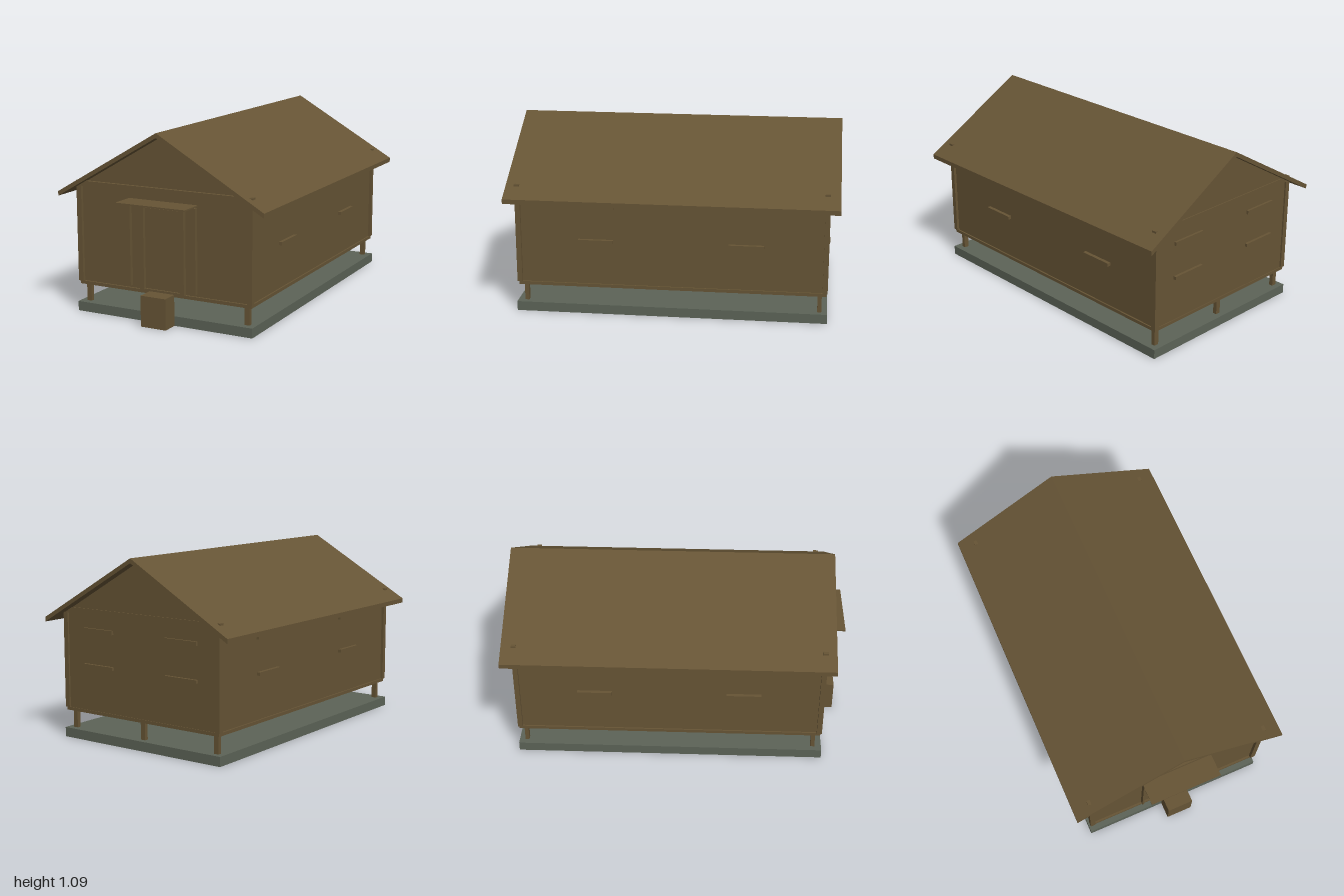
import * as THREE from 'three';

export function createModel() {
  const model = new THREE.Group();
  model.name = 'stiltCabin';

  // Double-sided because the slab, step and stilts are open underneath
  const wood = new THREE.MeshStandardMaterial({ color: 0x665435, side: THREE.DoubleSide });
  wood.name = 'brown wood';
  const stone = new THREE.MeshStandardMaterial({ color: 0x5c6357, side: THREE.DoubleSide });
  stone.name = 'grey green stone';

  // Box given by its minimum and maximum on each axis
  function box(name, [x0, x1], [y0, y1], [z0, z1], material = wood) {
    const geometry = new THREE.BoxGeometry(x1 - x0, y1 - y0, z1 - z0);
    const mesh = new THREE.Mesh(geometry, material);
    mesh.position.set((x0 + x1) / 2, (y0 + y1) / 2, (z0 + z1) / 2);
    mesh.name = name;
    model.add(mesh);
    return mesh;
  }

  // Box without its bottom face, which is the fourth of the six
  function openBox(...args) {
    const { geometry } = box(...args);
    const index = Array.from(geometry.index.array);
    index.splice(18, 6);
    geometry.setIndex(index);
    geometry.clearGroups();
  }

  // Box mirrored to both sides, given by its range on the left side
  function pair(name, [x0, x1], y, z) {
    box(name, [x0, x1], y, z);
    box(name, [-x1, -x0], y, z);
  }

  // Front-facing outline extruded from z0 to z1
  function prism(name, points, z0, z1) {
    const shape = new THREE.Shape(points.map(([x, y]) => new THREE.Vector2(x, y)));
    const geometry = new THREE.ExtrudeGeometry(shape, { depth: z1 - z0, bevelEnabled: false });
    const mesh = new THREE.Mesh(geometry, wood);
    mesh.position.z = z0;
    mesh.name = name;
    model.add(mesh);
  }

  // Foundation, floor and step
  openBox('foundationSlab', [-0.566, 0.566], [0, 0.056], [-0.946, 0.88], stone);
  box('floor', [-0.555, 0.555], [0.162, 0.181], [-0.938, 0.867]);
  openBox('frontStep', [-0.08, 0.08], [0, 0.18], [0.88, 0.978]);

  // Stilts
  for (const z of [-0.9, 0.828])
    for (const x of [-0.515, 0, 0.515])
      openBox('stilt', [x - 0.015, x + 0.015], [0, 0.17], [z - 0.012, z + 0.012]);

  // Walls with gables, reaching just into the roof
  prism('walls', [
    [-0.546, 0.181], [0.546, 0.181], [0.546, 0.758], [0, 1.075], [-0.546, 0.758],
  ], -0.934, 0.856);

  // Roof with vertically cut eaves
  prism('roof', [
    [-0.655, 0.684], [0, 1.064], [0.655, 0.684], [0.655, 0.711], [0, 1.091], [-0.655, 0.711],
  ], -1, 0.924);

  // Corner boards and the tie beams, whose ends reach through the roof
  pair('frontCornerBoard', [0.531, 0.562], [0.181, 0.745], [0.845, 0.875]);
  pair('backCornerBoard', [0.531, 0.562], [0.181, 0.745], [-0.944, -0.915]);
  box('frontTieBeam', [-0.564, 0.564], [0.745, 0.775], [0.845, 0.875]);
  box('backTieBeam', [-0.564, 0.564], [0.745, 0.775], [-0.94, -0.912]);

  // Door, its frame and the canopy
  box('door', [-0.112, 0.112], [0.191, 0.656], [0.856, 0.865]);
  box('doorSill', [-0.116, 0.116], [0.181, 0.191], [0.856, 0.876]);
  pair('doorJamb', [0.116, 0.142], [0.181, 0.662], [0.856, 0.88]);
  pair('sideBatten', [0.204, 0.216], [0.195, 0.685], [0.856, 0.88]);
  box('doorLintel', [-0.153, 0.153], [0.662, 0.693], [0.856, 0.886]);
  box('canopy', [-0.22, 0.22], [0.692, 0.7], [0.856, 1]);

  // Window trims: upper heads and lower sills on the sides and the back
  for (const z of [0.403, -0.473]) {
    pair('windowHead', [0.54, 0.564], [0.641, 0.664], [z - 0.107, z + 0.107]);
    pair('windowSill', [0.54, 0.567], [0.436, 0.455], [z - 0.102, z + 0.102]);
  }
  pair('backWindowHead', [0.19, 0.41], [0.641, 0.664], [-0.947, -0.93]);
  pair('backWindowSill', [0.19, 0.41], [0.436, 0.455], [-0.95, -0.93]);

  return model;
}
